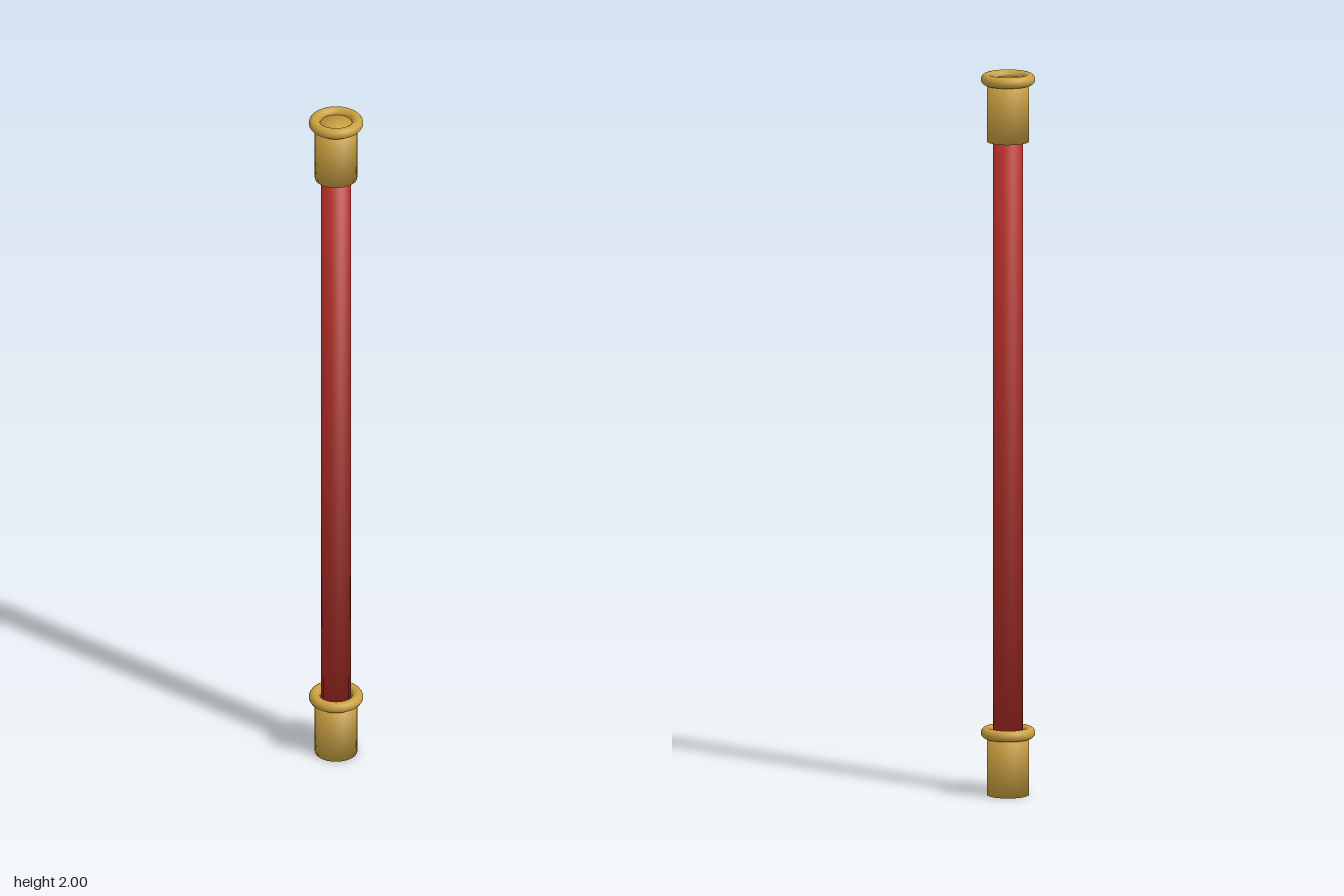
import * as THREE from 'three';
import { mergeVertices } from 'three/addons/utils/BufferGeometryUtils.js';

const SIDES = 32;

// Closed cylinder from y0 to y1 whose normals blend softly over the end rims
function softCylinder(radius, y0, y1) {
  const h = y1 - y0;
  let g = new THREE.CylinderGeometry(radius, radius, h, SIDES);
  g.deleteAttribute('uv');
  g.deleteAttribute('normal');
  g = mergeVertices(g);
  const p = g.attributes.position;
  const normals = new Float32Array(p.count * 3);
  const n = new THREE.Vector3();
  for (let i = 0; i < p.count; i++) {
    n.set(p.getX(i) / radius, Math.sign(p.getY(i)), p.getZ(i) / radius).normalize();
    n.toArray(normals, i * 3);
  }
  g.setAttribute('normal', new THREE.BufferAttribute(normals, 3));
  return g.translate(0, (y0 + y1) / 2, 0);
}

export function createModel() {
  const red = new THREE.MeshStandardMaterial({ name: 'red lacquer', color: 0xb22d26 });
  const gold = new THREE.MeshStandardMaterial({ name: 'gold', color: 0xc9a040 });
  const model = new THREE.Group();
  model.name = 'rod';

  const add = (parent, name, geometry, material) => {
    const mesh = new THREE.Mesh(geometry, material);
    mesh.name = name;
    parent.add(mesh);
    return mesh;
  };

  // Long shaft between the two end fittings
  add(model, 'shaft', softCylinder(0.041, 0.16, 1.83), red);

  // Gold sleeve with a rounded ring around its upper edge, at each end
  const sleeve = softCylinder(0.058, 0, 0.172);
  const ring = new THREE.TorusGeometry(0.0587, 0.0155, 16, 48).rotateX(Math.PI / 2);
  for (const [name, y] of [['bottomFitting', 0], ['topFitting', 1.8125]]) {
    const fitting = new THREE.Group();
    fitting.name = name;
    fitting.position.y = y;
    add(fitting, 'sleeve', sleeve, gold);
    add(fitting, 'ring', ring, gold).position.y = 0.172;
    model.add(fitting);
  }
  return model;
}
